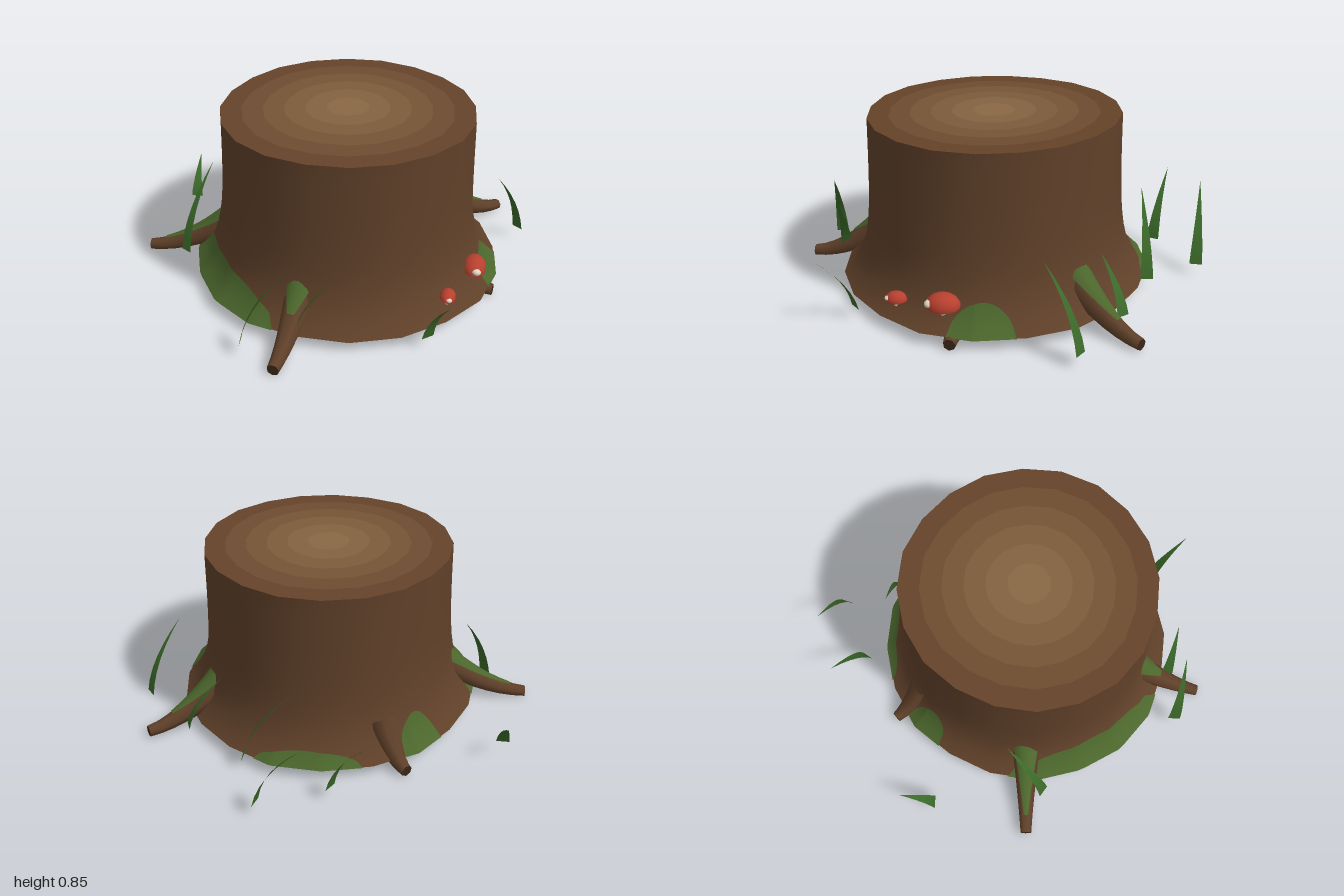
import * as THREE from 'three';
import { mergeVertices } from 'three/addons/utils/BufferGeometryUtils.js';

const SEG = 20, CX = 0.08, CZ = 0.04, BASE = 0.06, TOP = 0.848;
const mat = (color, side = THREE.FrontSide) => new THREE.MeshStandardMaterial({ color, side, roughness: 0.9 });
const bark = mat(0x5f4029), underside = mat(0x3a2617), moss = mat(0x4b662c), grass = mat(0x3c6a2a, THREE.DoubleSide);
const red = mat(0xb8402f), pale = mat(0xe0d6c4);

// Surface through f(u, v), u and v from 0 to 1; outside is dv x du
function grid(f, nu, nv) {
  const pos = [], idx = [];
  for (let j = 0; j <= nv; j++)
    for (let i = 0; i <= nu; i++) pos.push(...f(i / nu, j / nv).toArray());
  for (let j = 0; j < nv; j++)
    for (let i = 0; i < nu; i++) {
      const a = j * (nu + 1) + i, b = a + 1, c = a + nu + 1, d = c + 1;
      idx.push(a, c, b, b, c, d);
    }
  let g = new THREE.BufferGeometry();
  g.setAttribute('position', new THREE.Float32BufferAttribute(pos, 3));
  g.setIndex(idx);
  g = mergeVertices(g, 1e-4);
  g.computeVertexNormals();
  return g;
}

function add(parent, name, geometry, material) {
  const m = new THREE.Mesh(geometry, material);
  m.name = name;
  parent.add(m);
  return m;
}

// Trunk wall: flared foot, slightly lumpy facets; s counts segments
function corner(i, y, off) {
  const a = (i / SEG) * Math.PI * 2, k = (y - BASE) / (TOP - BASE);
  let r = 0.6 + 0.02 * (1 - k) + 0.135 * Math.exp(-7 * k);
  r *= 1 + 0.009 * Math.sin(3 * a + 1) + 0.008 * Math.sin(7 * a) * (0.6 + 0.4 * Math.cos(5 * y));
  r += off;
  return new THREE.Vector3(CX + r * Math.cos(a), y - 0.006 * k * Math.sin(a), CZ + r * Math.sin(a));
}
function wall(s, y, off = 0) {
  const i = Math.floor(s + 1e-6);
  return corner(i, y, off).lerp(corner(i + 1, y, off), Math.max(0, s - i));
}
const disc = (y, r0, r1) => grid((u, v) => {
  const p = wall(u * SEG, y), c = new THREE.Vector3(CX, y, CZ);
  return c.lerp(p, r0 + (r1 - r0) * v);
}, SEG, 1);

function addTrunk(group) {
  add(group, 'trunk', grid((u, v) => wall(u * SEG, BASE + (TOP - BASE) * Math.pow(v, 1.5)), SEG, 14), bark);
  add(group, 'trunkUnderside', disc(BASE, 0, 1), underside);
  // Cut top, lighter towards the heart
  const rings = 6, outer = new THREE.Color(0x654329), heart = new THREE.Color(0x8a6844);
  for (let i = 0; i < rings; i++) {
    const color = heart.clone().lerp(outer, i / (rings - 1));
    add(group, 'cutTopRing', disc(TOP, (i + 1) / rings, i / rings), mat(color));
  }
}

// Moss patches on the foot: first segment, last segment, height
function addMoss(group) {
  for (const [s0, s1, h] of [[5.5, 9.6, 0.14], [-0.8, 0.5, 0.13], [13.2, 15.4, 0.06], [11.3, 12.3, 0.15]])
    add(group, 'trunkMoss', grid((u, v) => {
      const y = BASE + v * h * Math.sqrt(Math.sin(Math.PI * u) + 1e-9);
      return wall(20 + s0 + (s1 - s0) * u, y, 0.005);
    }, 24, 6), moss);
}

// Tapered root bending down from the trunk to its tip
function addRoot(group, [sx, sz, tx, tz, h, mossy]) {
  const start = new THREE.Vector3(sx, 0, sz), dir = new THREE.Vector3(tx - sx, 0, tz - sz);
  const L = dir.length();
  dir.normalize();
  const side = dir.clone().cross(new THREE.Vector3(0, 1, 0));
  const point = (angle, t, off) => {
    const y = 0.034 + h * Math.pow(1 - t, 1.8);
    const slope = -1.8 * h * Math.pow(1 - t, 0.8) / L;
    const tangent = dir.clone().setY(slope).normalize();
    const up = side.clone().cross(tangent);
    const r = 0.028 + 0.047 * Math.pow(1 - t, 1.2) + off;
    return start.clone().addScaledVector(dir, L * t).setY(y)
      .addScaledVector(side, r * Math.cos(angle)).addScaledVector(up, r * Math.sin(angle));
  };
  const turn = Math.PI * 2;
  add(group, 'root', grid((u, v) => point(u * turn + 0.3, v, 0), 7, 7), bark);
  const tip = start.clone().addScaledVector(dir, L).setY(0.034);
  add(group, 'rootTip', grid((u, v) => point(u * turn + 0.3, 1, 0).lerp(tip, v), 7, 1), underside);
  if (mossy) add(group, 'rootMoss', grid((u, v) =>
    point(Math.PI / 2 + (u - 0.5) * 1.9 * (1 - 0.7 * v), v * mossy, 0.005), 6, 6), moss);
}

// Blade curving from a base point to its tip
function addBlade(group, [bx, bz, tx, tz, h]) {
  const lean = new THREE.Vector3(tx - bx, 0, tz - bz);
  const side = new THREE.Vector3(-lean.z, 0, lean.x).normalize();
  add(group, 'grassBlade', grid((u, v) => new THREE.Vector3(bx, BASE + (h - BASE) * v, bz)
    .addScaledVector(lean, 0.3 * v + 0.7 * v * v)
    .addScaledVector(side, (u - 0.5) * 0.062 * (1 - Math.pow(v, 1.3))), 1, 6), grass);
}

// Small shelf toadstool: domed cap, pale gills and stem, one pale spot
function addMushroom(group, x, y, z, r) {
  const g = new THREE.Group();
  g.name = 'mushroom';
  add(g, 'cap', new THREE.SphereGeometry(1, 14, 6, 0, Math.PI * 2, 0, Math.PI / 2), red).scale.set(r * 0.75, r * 0.75, r);
  const gills = add(g, 'gills', new THREE.CircleGeometry(1, 14), pale);
  gills.rotation.x = Math.PI / 2;
  gills.scale.set(r * 0.75, r, 1);
  add(g, 'stem', new THREE.CylinderGeometry(r * 0.22, r * 0.3, r, 8), pale).position.y = -r * 0.5;
  const spot = add(g, 'capSpot', new THREE.SphereGeometry(r * 0.3, 8, 6), pale);
  spot.position.set(r * 0.22, r * 0.25, r * 0.72);
  spot.scale.y = 0.7;
  g.position.set(x, y, z);
  g.rotation.z = -0.2;
  group.add(g);
}

export function createModel() {
  const group = new THREE.Group();
  group.name = 'treeStump';
  addTrunk(group);
  addMoss(group);

  // Roots: start x, z, tip x, z, rise, mossy share of length
  [
    [0.05, 0.61, 0.05, 0.99, 0.18, 0.35],
    [-0.48, 0.18, -0.91, 0.295, 0.18, 0.8],
    [0.49, -0.37, 0.75, -0.675, 0.18, 0.65],
    [-0.34, -0.40, -0.51, -0.52, 0.17, 0],
    [0.60, 0.12, 0.845, 0.14, 0.12, 0],
  ].forEach((r) => addRoot(group, r));

  // Grass: base x, z, tip x, z, tip height
  [
    [0.04, -0.97, -0.19, -0.985, 0.42],
    [-0.23, -0.77, -0.43, -0.84, 0.39],
    [0.22, -0.72, -0.02, -0.68, 0.44],
    [0.57, -0.60, 0.43, -0.49, 0.30],
    [0.89, -0.42, 0.78, -0.25, 0.43],
    [-0.885, -0.19, -0.92, -0.345, 0.25],
    [-0.69, 0.33, -0.605, 0.115, 0.485],
    [-0.14, 0.90, 0.065, 0.855, 0.44],
    [0.07, 0.81, 0.24, 0.79, 0.39],
    [0.63, 0.61, 0.76, 0.735, 0.35],
  ].forEach((b) => addBlade(group, b));

  addMushroom(group, 0.75, 0.172, 0.18, 0.078);
  addMushroom(group, 0.672, 0.142, 0.405, 0.05);
  return group;
}
